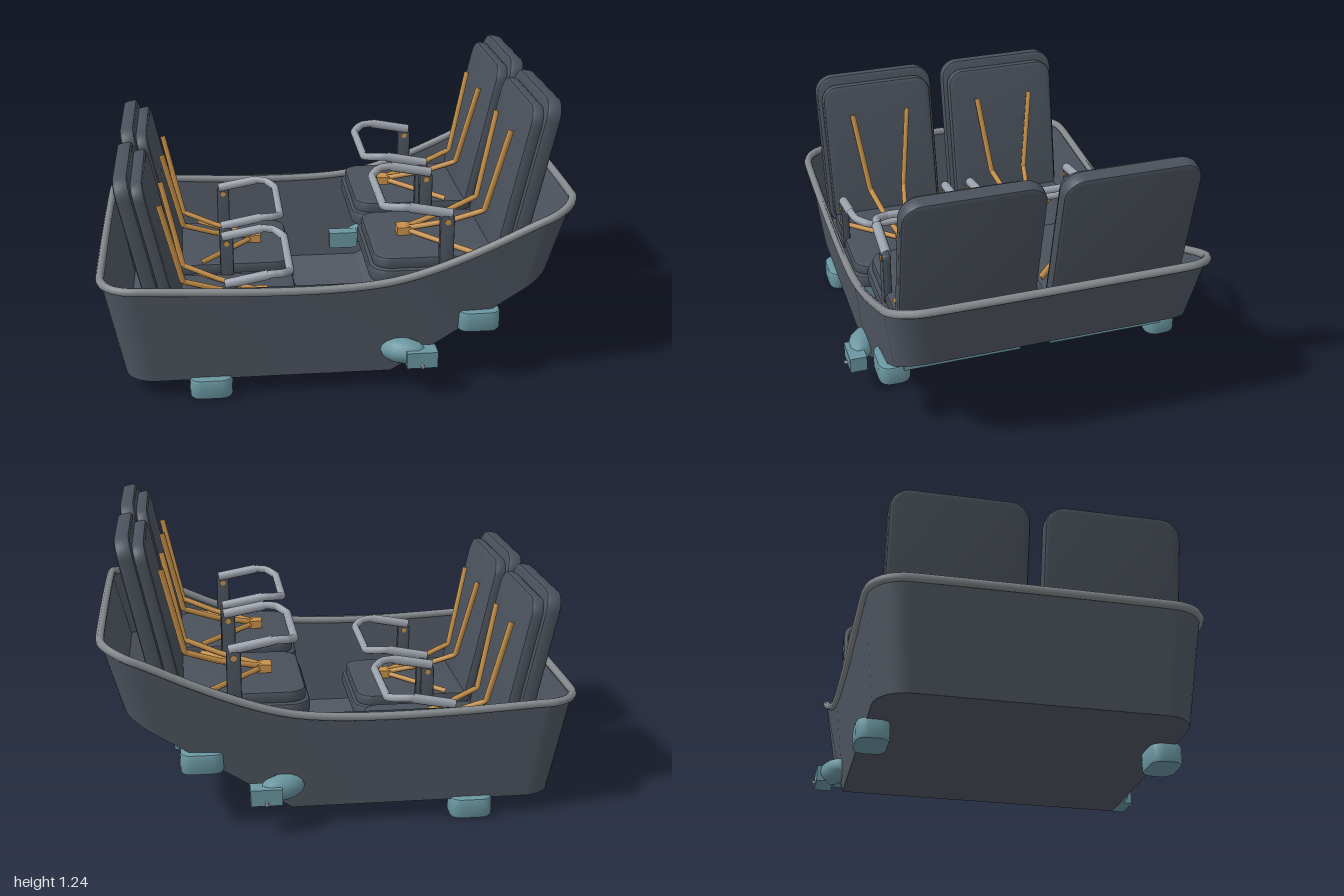
import * as THREE from 'three';
import { toCreasedNormals } from 'three/addons/utils/BufferGeometryUtils.js';

const paint = (name, color, side = THREE.FrontSide) => {
  const m = new THREE.MeshStandardMaterial({ color, side });
  m.name = name;
  return m;
};
const V = (x, y, z) => new THREE.Vector3(x, y, z);

export function createModel() {
  const hullGrey = paint('hullGrey', 0x505762, THREE.DoubleSide);
  const seatGrey = paint('seatGrey', 0x4a515b);
  const rimGrey = paint('rimGrey', 0x84888c);
  const barGrey = paint('barGrey', 0x9ca2ac);
  const teal = paint('teal', 0x6a96a1);
  const amber = paint('amber', 0xc8924a);

  const model = new THREE.Group();
  model.name = 'tubVehicle';

  const add = (parent, name, geo, mat, x = 0, y = 0, z = 0) => {
    const m = new THREE.Mesh(geo, mat);
    m.name = name;
    m.position.set(x, y, z);
    parent.add(m);
    return m;
  };

  // Rounded slab: w by h outline, thickness t along z, soft edges
  const pad = (w, h, t, r, b = 0.015, steps = 5) => {
    const x = w / 2 - b, y = h / 2 - b, s = new THREE.Shape();
    s.absarc(x - r, y - r, r, 0, Math.PI / 2);
    s.absarc(-x + r, y - r, r, Math.PI / 2, Math.PI);
    s.absarc(-x + r, -y + r, r, Math.PI, Math.PI * 1.5);
    s.absarc(x - r, -y + r, r, Math.PI * 1.5, Math.PI * 2);
    const g = new THREE.ExtrudeGeometry(s, {
      depth: t - 2 * b, bevelSize: b, bevelThickness: b, bevelSegments: 2, curveSegments: steps,
    });
    g.translate(0, 0, b - t / 2);
    return toCreasedNormals(g, 0.6);
  };

  // Tube along straight runs
  const polyTube = (pts, r, sides) => {
    const path = new THREE.CurvePath();
    for (let i = 1; i < pts.length; i++) path.add(new THREE.LineCurve3(pts[i - 1], pts[i]));
    return new THREE.TubeGeometry(path, 48, r, sides, false);
  };

  // Hull outline: rounded rectangle with a fold line at KNEE
  const KNEE = 0.22;
  const half = (hx, hz, r) => {
    const p = [], n = 8;
    for (let i = 0; i <= n; i++) {
      const a = Math.PI - (i / n) * Math.PI / 2;
      p.push([-hx + r + r * Math.cos(a), hz - r + r * Math.sin(a)]);
    }
    p.push([KNEE, hz]);
    for (let i = 0; i <= n; i++) {
      const a = Math.PI / 2 - (i / n) * Math.PI / 2;
      p.push([hx - r + r * Math.cos(a), hz - r + r * Math.sin(a)]);
    }
    return p;
  };
  const loop = (h, yAt) => [...h, ...h.map(([x, z]) => [x, -z]).reverse()]
    .map(([x, z]) => V(x, yAt(x), z));
  const rimY = (x) => 0.515 + Math.max(0, x - KNEE) * 0.39;
  const baseY = (x) => 0.08 + Math.max(0, x - KNEE) * 0.632;
  const baseHalf = half(0.9, 0.622, 0.13);
  const top = loop(half(0.982, 0.668, 0.15), rimY);
  const base = loop(baseHalf, baseY);

  const mesh = (points, index) => {
    const g = new THREE.BufferGeometry().setFromPoints(points);
    g.setIndex(index);
    g.computeVertexNormals();
    return g;
  };
  const N = top.length, wall = [], floor = [];
  for (let i = 0; i < N; i++) {
    const j = (i + 1) % N;
    wall.push(i, N + i, N + j, i, N + j, j);
  }
  for (let i = 0; i < baseHalf.length - 1; i++) {
    const r = N - 1 - i;
    floor.push(i, r, i + 1, i + 1, r, r - 1);
  }
  add(model, 'hullWalls', mesh([...top, ...base], wall), hullGrey);
  add(model, 'hullFloor', toCreasedNormals(mesh(base, floor), 0.3), hullGrey);
  const rimPath = new THREE.CatmullRomCurve3(top, true, 'centripetal');
  add(model, 'rim', new THREE.TubeGeometry(rimPath, 220, 0.018, 8, true), rimGrey);

  // One seat facing -x, centred on z = 0
  const makeSeat = (drop) => {
    const seat = new THREE.Group();
    seat.name = 'seat';
    const low = Math.max(0.34, 0.09 + drop);
    add(seat, 'pedestal', new THREE.BoxGeometry(0.5, 0.48 - low, 0.5), teal, 0.45, (0.48 + low) / 2, 0);
    add(seat, 'cushionBase', pad(0.62, 0.57, 0.065, 0.07).rotateX(Math.PI / 2), seatGrey, 0.445, 0.5, 0);
    add(seat, 'cushionTop', pad(0.56, 0.53, 0.06, 0.06).rotateX(Math.PI / 2), seatGrey, 0.432, 0.55, 0);

    // Reclined backrest
    const back = new THREE.Group();
    back.name = 'backrest';
    back.position.set(0.65, 0.55, 0);
    back.rotation.z = -Math.PI / 15;
    add(back, 'backPad', pad(0.53, 0.7, 0.055, 0.06).rotateY(Math.PI / 2), seatGrey, 0.0255, 0.325, 0);
    add(back, 'backShell', pad(0.57, 0.755, 0.065, 0.07).rotateY(Math.PI / 2), seatGrey, 0.08, 0.34, 0);
    seat.add(back);

    // Harness
    add(seat, 'buckle', new THREE.BoxGeometry(0.06, 0.035, 0.07), amber, 0.31, 0.6, 0);
    for (const s of [-1, 1]) {
      add(seat, 'shoulderStrap', polyTube([V(0.32, 0.605, s * 0.01), V(0.5, 0.65, s * 0.055),
        V(0.645, 0.705, s * 0.085), V(0.73, 1.08, s * 0.135)], 0.013, 6), amber);
      add(seat, 'lapStrap', polyTube([V(0.32, 0.6, s * 0.01), V(0.57, 0.585, s * 0.255)], 0.013, 6), amber);
      // Posts carrying the lap bar
      add(seat, 'barPost', pad(0.06, 0.27, 0.035, 0.01, 0.006), seatGrey, 0.45, 0.625, s * 0.255);
      add(seat, 'postBolt', new THREE.CylinderGeometry(0.013, 0.013, 0.045, 8).rotateX(Math.PI / 2),
        amber, 0.45, 0.735, s * 0.255);
    }
    const side = [[0.46, 0.765, 0.252], [0.4, 0.775, 0.252], [0.28, 0.798, 0.25], [0.235, 0.795, 0.24], [0.195, 0.78, 0.185]];
    const bar = [...side.map(([x, y, z]) => V(x, y, z)), ...side.map(([x, y, z]) => V(x, y, -z)).reverse()];
    add(seat, 'lapBar', polyTube(bar, 0.018, 8), barGrey);
    for (const s of [-1, 1]) {
      add(seat, 'barGrip', polyTube([V(0.47, 0.763, s * 0.252), V(0.29, 0.797, s * 0.25)], 0.022, 8), barGrey);
    }
    return seat;
  };

  // Two facing rows, the far row raised
  for (const z of [-0.315, 0.315]) {
    const high = makeSeat(0);
    high.position.z = z;
    const lower = makeSeat(0.275);
    lower.position.set(0, -0.275, z);
    lower.rotation.y = Math.PI;
    model.add(high, lower);
  }

  // Bumper feet and side couplings
  for (const s of [-1, 1]) {
    for (const [x, y] of [[-0.54, 0.045], [0.59, 0.303]]) {
      add(model, 'bumperFoot', pad(0.18, 0.135, 0.09, 0.035, 0.012, 2).rotateX(Math.PI / 2), teal, x, y, s * 0.592);
    }
    const coupling = new THREE.Group();
    coupling.name = 'sideCoupling';
    const bulb = add(coupling, 'couplingBulb', new THREE.SphereGeometry(1, 10, 8), teal, 0.265, 0.188, s * 0.655);
    bulb.scale.set(0.105, 0.054, 0.06);
    bulb.rotation.y = -s * 0.4;
    add(coupling, 'couplingBlock', new THREE.BoxGeometry(0.13, 0.07, 0.075), teal, 0.335, 0.178, s * 0.697);
    add(coupling, 'couplingPin', new THREE.CylinderGeometry(0.008, 0.008, 0.1, 8).rotateX(Math.PI / 2),
      barGrey, 0.335, 0.155, s * 0.7);
    add(coupling, 'couplingAnchor', new THREE.BoxGeometry(0.14, 0.08, 0.065), teal, 0.15, 0.19, s * 0.57);
    model.add(coupling);
  }
  return model;
}
